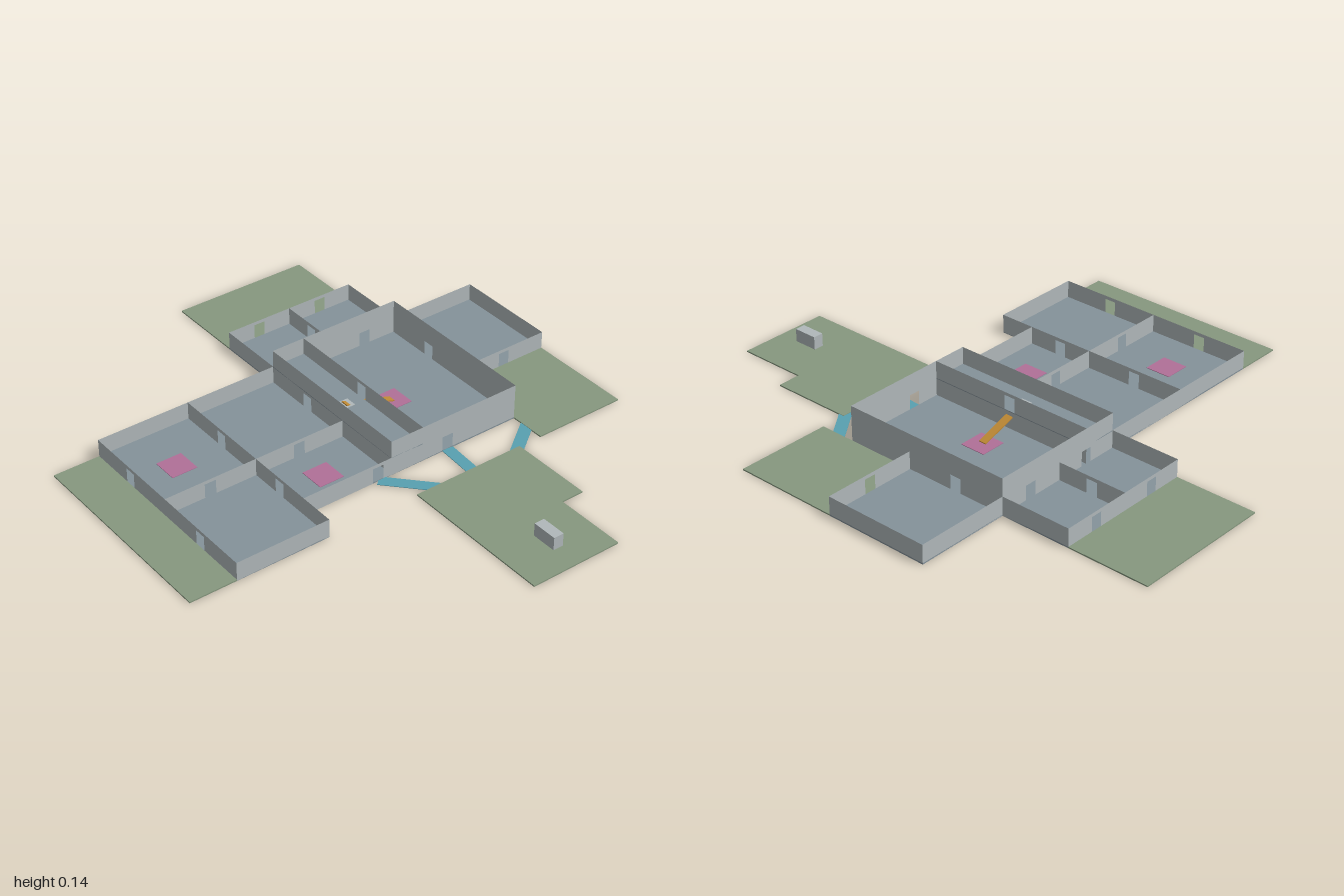
import * as THREE from 'three';

const mat = (color, side = THREE.FrontSide) => new THREE.MeshStandardMaterial({ color, side });
const wallMat = mat(0xb0b8ba, THREE.DoubleSide);
const floorMat = mat(0x84929a);
const lawnMat = mat(0x86987f);
const pathMat = mat(0x58a0b0);
const padMat = mat(0xb07098);
const rampMat = mat(0xc08a35);

const LOW = 0.073, TALL = 0.14, SLAB = 0.005;
const DOOR_W = 0.045, DOOR_H = 0.06;

export function createModel() {
  const model = new THREE.Group();

  function add(name, geometry, material, x = 0, y = 0, z = 0) {
    const mesh = new THREE.Mesh(geometry, material);
    mesh.name = name;
    mesh.position.set(x, y, z);
    model.add(mesh);
    return mesh;
  }

  // Box given by its plan rectangle and its bottom and top
  function block(name, material, [x0, z0, x1, z1], y0, y1) {
    return add(name, new THREE.BoxGeometry(x1 - x0, y1 - y0, z1 - z0), material,
      (x0 + x1) / 2, (y0 + y1) / 2, (z0 + z1) / 2);
  }

  // Thin wall from one plan point to another, doors at distances along it
  function wall(name, [x0, z0], [x1, z1], h, doors = [], upperDoors = []) {
    const length = Math.hypot(x1 - x0, z1 - z0);
    const shape = new THREE.Shape();
    shape.moveTo(0, 0);
    for (const d of doors) {
      shape.lineTo(d - DOOR_W / 2, 0);
      shape.lineTo(d - DOOR_W / 2, DOOR_H);
      shape.lineTo(d + DOOR_W / 2, DOOR_H);
      shape.lineTo(d + DOOR_W / 2, 0);
    }
    shape.lineTo(length, 0);
    shape.lineTo(length, h);
    shape.lineTo(0, h);
    shape.closePath();
    for (const d of upperDoors) {
      const a = d - DOOR_W / 2, b = d + DOOR_W / 2, y0 = LOW, y1 = LOW + 0.055;
      const hole = new THREE.Path();
      hole.moveTo(a, y0);
      hole.lineTo(a, y1);
      hole.lineTo(b, y1);
      hole.lineTo(b, y0);
      hole.closePath();
      shape.holes.push(hole);
    }
    const mesh = add(name, new THREE.ShapeGeometry(shape), wallMat, x0, 0, z0);
    mesh.rotation.y = -Math.atan2(z1 - z0, x1 - x0);
  }

  // Room floors
  const rooms = [
    [-0.73, -0.41, -0.365, 0], [-0.365, -0.41, 0, 0],
    [-0.73, 0, -0.365, 0.41], [-0.365, 0, 0, 0.27],
    [0, -0.41, 0.135, 0.27], [0.135, -0.41, 0.545, 0.27],
    [0.545, -0.41, 0.91, 0], [0, -0.685, 0.27, -0.41], [0.27, -0.685, 0.545, -0.41],
  ];
  rooms.forEach((r) => block('roomFloor', floorMat, r, 0, SLAB));
  block('galleryFloor', floorMat, [0, -0.41, 0.135, 0.27], LOW - 0.003, LOW);

  // Lawns
  const lawns = [
    [-0.91, -0.41, -0.73, 0.41], [0.545, 0, 0.91, 0.41], [0, -1, 0.545, -0.685],
    [0, 0.41, 0.45, 0.73], [0, 0.73, 0.36, 1],
  ];
  lawns.forEach((r) => block('lawn', lawnMat, r, 0, SLAB));

  // Low walls of the side wing
  wall('wingBackWall', [-0.73, -0.41], [0, -0.41], LOW);
  wall('wingEndWall', [-0.73, -0.41], [-0.73, 0.41], LOW, [0.2, 0.615]);
  wall('wingFrontWall', [-0.73, 0.41], [-0.365, 0.41], LOW);
  wall('wingCrossWall', [-0.365, -0.41], [-0.365, 0.41], LOW, [0.205, 0.545]);
  wall('wingMiddleWall', [-0.73, 0], [0, 0], LOW, [0.18, 0.545]);
  wall('wingPorchWall', [-0.365, 0.27], [0, 0.27], LOW, [0.31]);

  // Tall walls of the hall and its gallery
  wall('hallBackWall', [0, -0.41], [0.545, -0.41], TALL, [0.135, 0.41]);
  wall('hallFrontWall', [0, 0.27], [0.545, 0.27], TALL, [0.245]);
  wall('hallLeftWall', [0.545, -0.41], [0.545, 0.27], TALL, [0.205]);
  wall('hallRightWall', [0, -0.41], [0, 0.27], TALL, [0.205]);
  wall('galleryWall', [0.135, -0.41], [0.135, 0.27], TALL, [], [0.34]);

  // Low walls of the left room and back rooms
  wall('sideRoomBackWall', [0.545, -0.41], [0.91, -0.41], LOW);
  wall('sideRoomEndWall', [0.91, -0.41], [0.91, 0], LOW);
  wall('sideRoomFrontWall', [0.545, 0], [0.91, 0], LOW, [0.183]);
  wall('backRoomEndWall', [0, -0.685], [0.545, -0.685], LOW, [0.135, 0.41]);
  for (const x of [0, 0.27, 0.545])
    wall('backRoomSideWall', [x, -0.685], [x, -0.41], LOW, x === 0.27 ? [0.1375] : []);

  // Paths linking the front lawn with the doors and the side lawn
  function path(from, to) {
    const dx = to[0] - from[0], dz = to[1] - from[1];
    const mesh = add('path', new THREE.BoxGeometry(Math.hypot(dx, dz), 0.002, 0.045), pathMat,
      (from[0] + to[0]) / 2, 0.0025, (from[1] + to[1]) / 2);
    mesh.rotation.y = -Math.atan2(dz, dx);
  }
  const hub = [0.225, 0.57];
  [[-0.055, 0.27], [0.245, 0.27], [0.73, 0.2]].forEach((end) => path(end, hub));

  // Square floor pads
  for (const [x, z] of [[-0.55, -0.205], [-0.185, 0.135], [0.27, -0.07]])
    block('floorPad', padMat, [x - 0.05, z - 0.05, x + 0.05, z + 0.05], SLAB, SLAB + 0.002);

  // Ramp from the gallery down to the hall
  const run = 0.21, rise = LOW - SLAB;
  const ramp = add('ramp', new THREE.BoxGeometry(Math.hypot(run, rise), 0.004, 0.03), rampMat,
    0.165, (LOW + SLAB) / 2 + 0.005, -0.07);
  ramp.rotation.z = -Math.atan2(rise, run);

  // Gallery post and garden block
  block('galleryPost', wallMat, [0.045, -0.093, 0.09, -0.048], 0.015, LOW + 0.002);
  block('gardenBlock', wallMat, [0.16, 0.815, 0.2, 0.91], 0.012, 0.062);

  return model;
}
